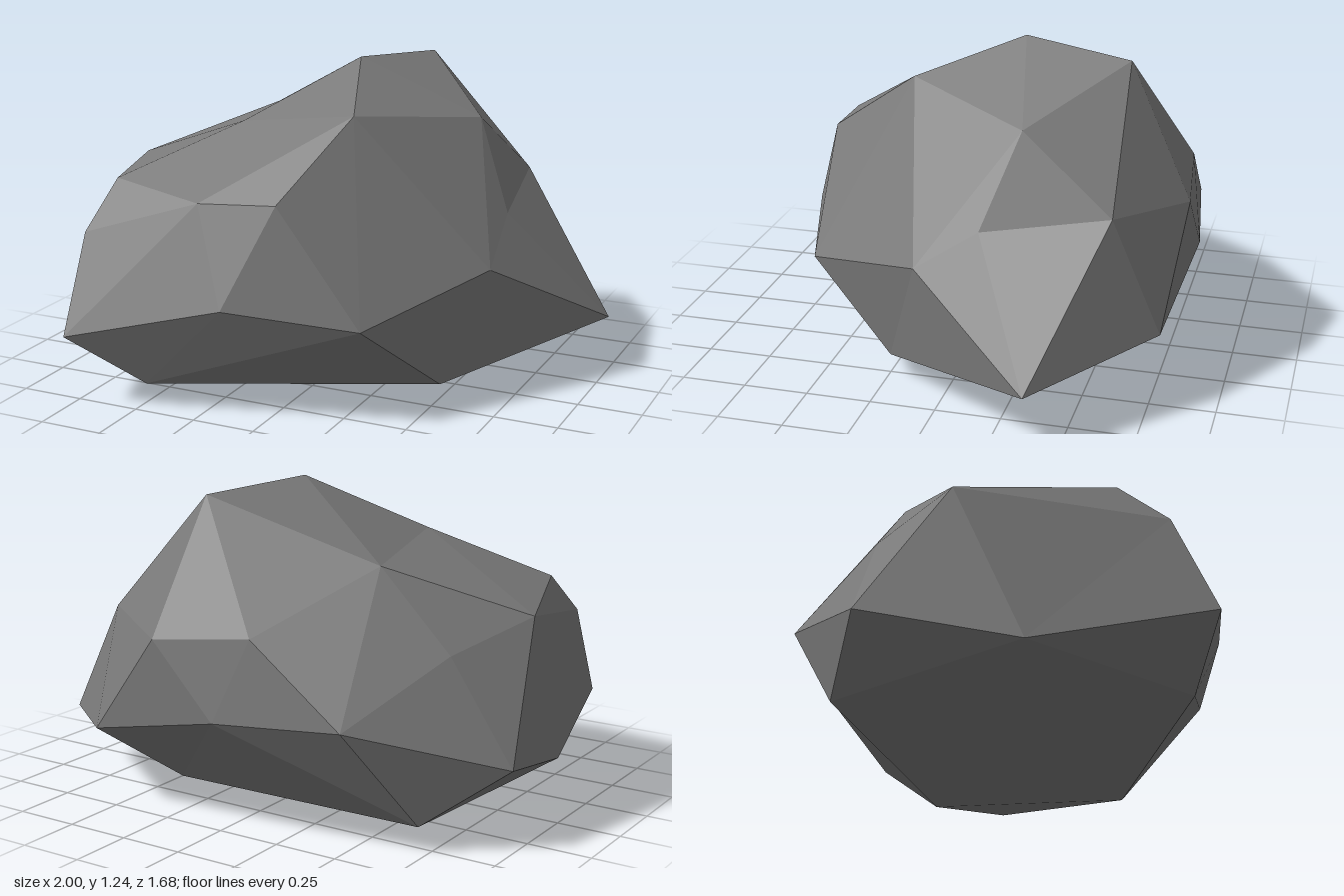
import * as THREE from 'three';
import { ConvexGeometry } from 'three/addons/geometries/ConvexGeometry.js';

// Corners of the boulder, grouped by region
const top = [
  [0.02, 1.24, -0.16], [0.16, 1.21, -0.59], [0.49, 1.02, -0.26], [0.17, 1.09, 0.24],
  [-0.46, 0.98, -0.39], [-0.32, 1.02, 0.19],
];
const front = [
  [0.03, 0.82, 0.61], [-0.28, 0.80, 0.63], [-0.71, 0.82, 0.49], [-0.74, 0.65, 0.68],
  [-0.75, 0.28, 0.84], [-0.13, 0.44, 0.75], [0.36, 0.385, 0.60],
];
const sides = [
  [0.67, 0.52, 0.10], [0.65, 0.68, -0.14], [1.0, 0.23, -0.39], [0.58, 0.75, -0.61],
  [-0.9, 0.18, 0.2], [-1.0, 0.31, -0.38], [-0.91, 0.79, -0.06], [-0.75, 0.69, -0.39],
];
const back = [
  [0.55, 0.31, -0.79], [-0.04, 0.44, -0.845], [0.23, 0.71, -0.835],
  [-0.17, 0.755, -0.79], [-0.54, 0.47, -0.78],
];
const base = [
  [0.53, 0.09, 0.24], [0, 0, -0.09], [-0.48, 0.09, 0.70], [-0.72, 0.10, -0.55], [0.37, 0.07, -0.50],
];

const CENTRE = new THREE.Vector3(0, 0.55, 0);
const ROUNDING = 0.4;

// Scale a point's distance from the origin to a power of itself
const warp = (p, power) => p.setLength(Math.pow(p.length(), power));

export function createModel() {
  const stone = new THREE.MeshStandardMaterial({ color: 0x7a7a7a });
  stone.name = 'grey stone';
  stone.flatShading = true;

  // Round the points out so that shallow dents also become corners of the hull
  const points = [...top, ...front, ...sides, ...back, ...base].map((c) =>
    warp(new THREE.Vector3(...c).sub(CENTRE), ROUNDING));
  const geometry = new ConvexGeometry(points);

  // Undo the rounding, which restores the dents
  const pos = geometry.attributes.position;
  const p = new THREE.Vector3();
  for (let i = 0; i < pos.count; i++) {
    warp(p.fromBufferAttribute(pos, i), 1 / ROUNDING).add(CENTRE);
    pos.setXYZ(i, p.x, p.y, p.z);
  }
  geometry.computeVertexNormals();

  const boulder = new THREE.Mesh(geometry, stone);
  boulder.name = 'boulder';
  const group = new THREE.Group();
  group.name = 'rock';
  group.add(boulder);
  return group;
}
